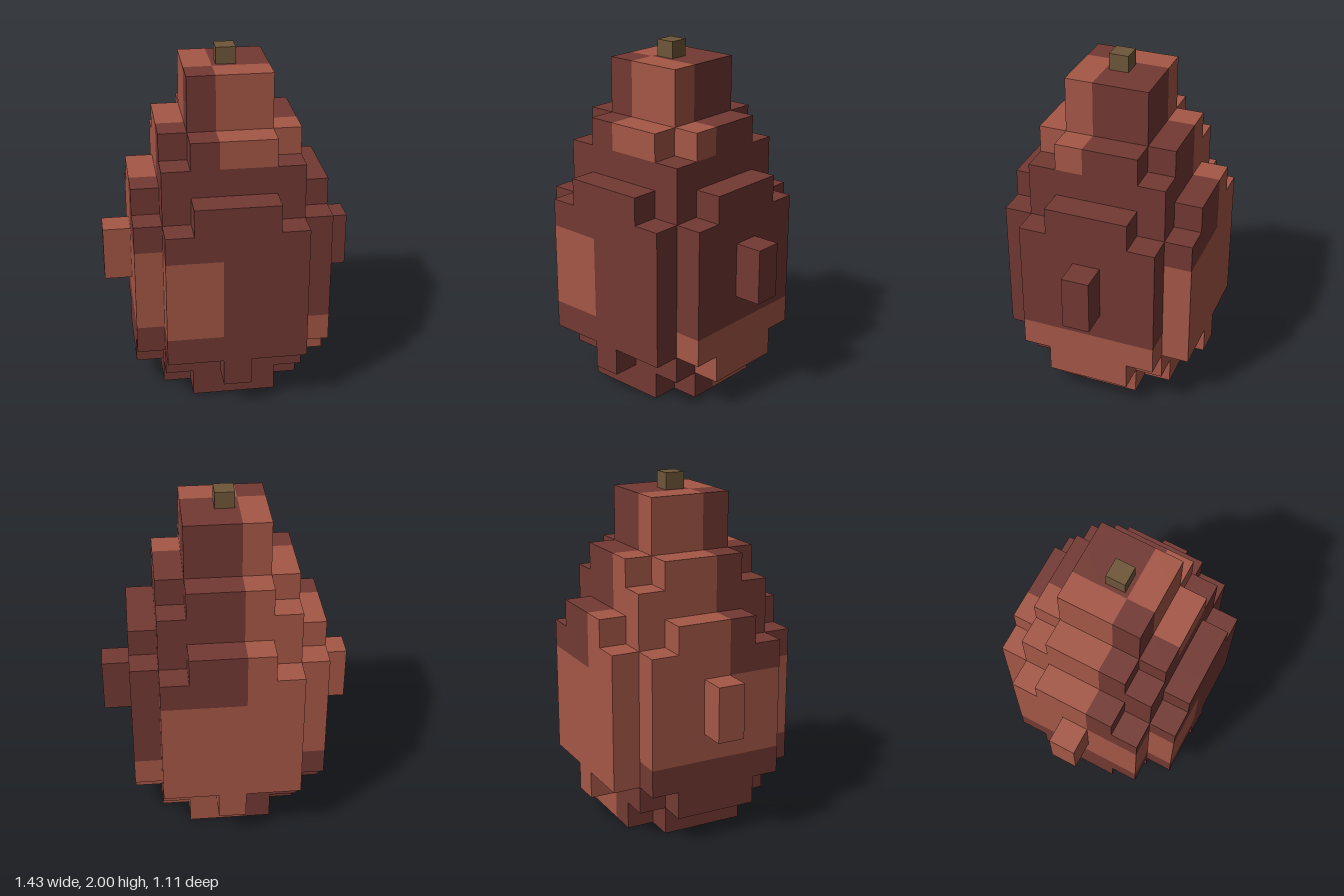
import * as THREE from 'three';
import { mergeGeometries } from 'three/addons/utils/BufferGeometryUtils.js';

const U = 2 / 12.6; // edge of one block

// Each part: name, lowest and highest layer, and its crossing boxes as [half x, half z] in blocks
const PARTS = [
  ['base', 0, 0, [[2, 1], [1, 2]]],
  ['lowerTier', 1, 1, [[2, 2], [3, 1], [0, 3]]],
  ['body', 2, 6, [[3, 2], [2, 3]]],
  ['sideKnobs', 4, 5, [[4, 0]]],
  ['upperTier', 7, 7, [[2, 2], [3, 1], [1, 3]]],
  ['shoulder', 8, 8, [[2, 2]]],
  ['neck', 9, 9, [[2, 1], [1, 2]]],
  ['crown', 10, 11, [[1, 1]]],
];

// Patchwork rule: which blocks take the lighter colour
function isLight(x, y, z) {
  const backRight = x <= -1 && z <= 0;
  const backLeft = x >= 0 && z <= 0;
  const frontLeft = x >= 0 && z >= 1;
  if (y >= 9) return backRight || frontLeft;
  if (y >= 6) return backRight;
  if (y >= 3) return x <= -1 || z === -3;
  if (y === 2) return z === -3 || x === 3;
  if (y === 1) return backLeft || x === 3;
  return backLeft;
}

// One outward square for each of the six directions of a block
function blockSides() {
  const sides = [];
  const add = (dir, rx, ry) => {
    const g = new THREE.PlaneGeometry(U, U).translate(0, 0, U / 2);
    g.rotateX(rx).rotateY(ry);
    sides.push({ dir, g });
  };
  add([0, 0, 1], 0, 0);
  add([0, 0, -1], 0, Math.PI);
  add([1, 0, 0], 0, Math.PI / 2);
  add([-1, 0, 0], 0, -Math.PI / 2);
  add([0, 1, 0], -Math.PI / 2, 0);
  add([0, -1, 0], Math.PI / 2, 0);
  return sides;
}

export function createModel() {
  const model = new THREE.Group();
  model.name = 'blockLantern';

  const mat = (name, color) => {
    const m = new THREE.MeshStandardMaterial({ color });
    m.name = name;
    return m;
  };
  const lightMat = mat('lightClay', 0xa55746);
  const darkMat = mat('darkClay', 0x733933);
  const stemMat = mat('stemBrown', 0x6e5639);

  // Fill the block grid, remembering which part owns each block
  const cells = new Map();
  const key = (x, y, z) => `${x},${y},${z}`;
  for (const [name, y0, y1, boxes] of PARTS) {
    for (const [hx, hz] of boxes) {
      for (let y = y0; y <= y1; y++)
        for (let x = -hx; x <= hx; x++)
          for (let z = -hz; z <= hz; z++) {
            const k = key(x, y, z);
            if (!cells.has(k)) cells.set(k, { name, x, y, z });
          }
    }
  }

  // Only the exposed sides of the blocks, sorted by part and colour
  const sides = blockSides();
  for (const [name] of PARTS) {
    const faces = { Light: [], Dark: [] };
    for (const c of cells.values()) {
      if (c.name !== name) continue;
      const list = isLight(c.x, c.y, c.z) ? faces.Light : faces.Dark;
      for (const { dir, g } of sides) {
        if (cells.has(key(c.x + dir[0], c.y + dir[1], c.z + dir[2]))) continue;
        list.push(g.clone().translate(c.x * U, (c.y + 0.5) * U, c.z * U));
      }
    }
    const part = new THREE.Group();
    part.name = name;
    for (const [shade, material] of [['Light', lightMat], ['Dark', darkMat]]) {
      if (!faces[shade].length) continue;
      const mesh = new THREE.Mesh(mergeGeometries(faces[shade]), material);
      mesh.name = name + shade;
      part.add(mesh);
    }
    model.add(part);
  }

  // Stem on the crown
  const top = 12 * U;
  const stem = new THREE.Mesh(new THREE.BoxGeometry(0.111, 2 - top, 0.111), stemMat);
  stem.name = 'stem';
  stem.position.y = (2 + top) / 2;
  model.add(stem);

  return model;
}
